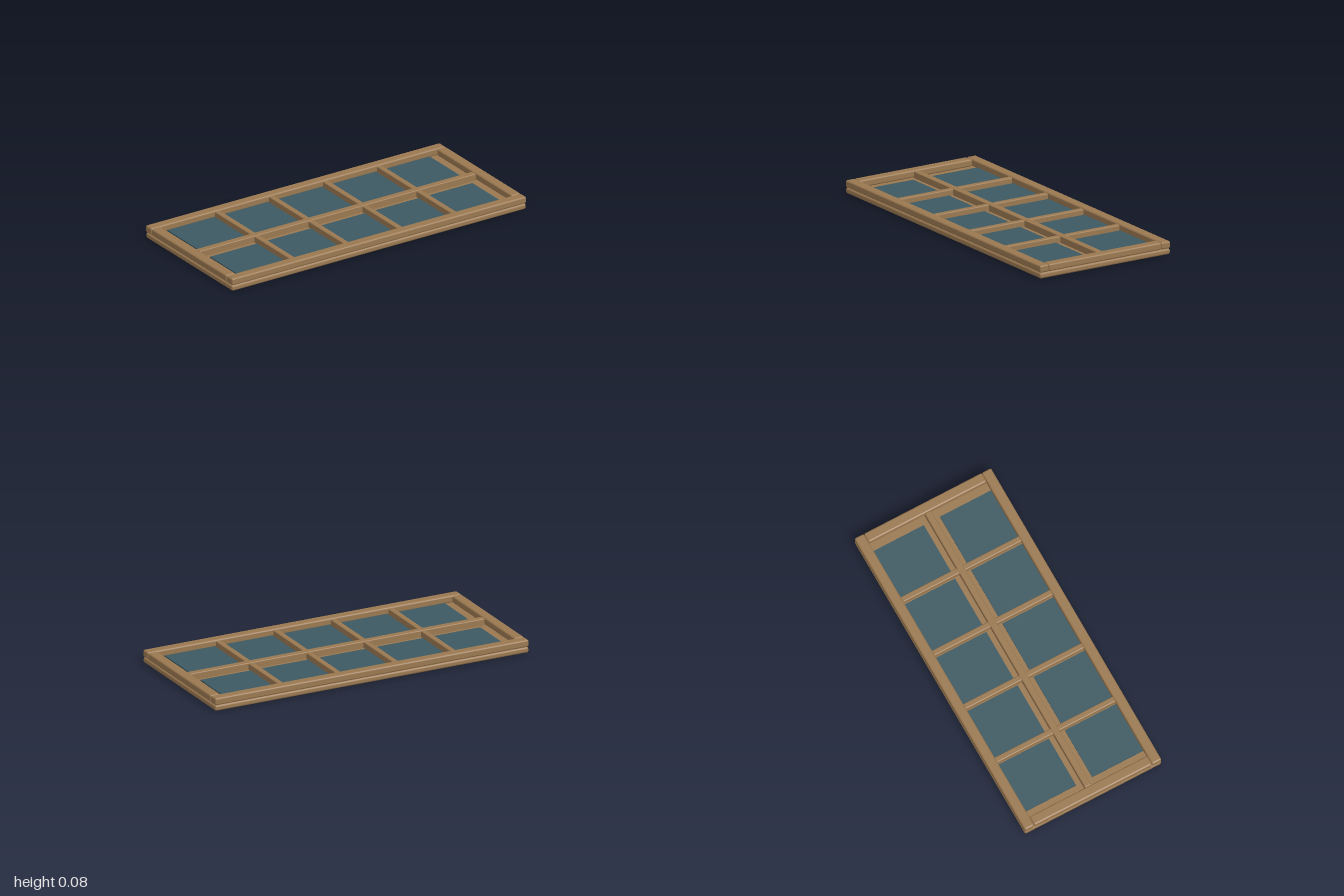
import * as THREE from 'three';
import { RoundedBoxGeometry } from 'three/addons/geometries/RoundedBoxGeometry.js';

export function createModel() {
  const group = new THREE.Group();
  const wood = new THREE.MeshStandardMaterial({ color: 0x9a7850 });
  wood.name = 'wood';
  const pane = new THREE.MeshStandardMaterial({ color: 0x3c5961 });
  pane.name = 'dark teal pane';

  // Rounded timber spanning y0..y1
  function timber(name, w, y0, y1, d, x, z, radius = 0.01) {
    const mesh = new THREE.Mesh(new RoundedBoxGeometry(w, y1 - y0, d, 3, radius), wood);
    mesh.position.set(x, (y0 + y1) / 2, z);
    mesh.name = name;
    group.add(mesh);
  }

  const baseTop = 0.035, frameTop = 0.078;

  // Backing board
  timber('backingBoard', 2, 0, baseTop, 0.88, 0, 0, 0.012);

  // Outer frame
  for (const s of [-1, 1]) {
    timber(s > 0 ? 'frontRail' : 'backRail', 2, baseTop, frameTop, 0.06, 0, s * 0.41);
    timber(s > 0 ? 'leftStile' : 'rightStile', 0.06, baseTop, frameTop, 0.76, s * 0.97, 0);
  }

  // Long centre bar and short dividers on both sides of it
  timber('centreBar', 1.88, baseTop - 0.005, 0.075, 0.04, 0, 0, 0.006);
  for (const x of [-0.55, -0.183, 0.183, 0.55]) {
    for (const s of [-1, 1]) {
      timber('divider', 0.034, baseTop - 0.005, 0.072, 0.37, x, s * 0.198, 0.006);
    }
  }

  // Thin inset panes
  const paneGeometry = new THREE.BoxGeometry(0.32, 0.008, 0.33);
  for (let i = -2; i <= 2; i++) {
    for (const s of [-1, 1]) {
      const mesh = new THREE.Mesh(paneGeometry, pane);
      mesh.position.set(i * 0.366, baseTop + 0.003, s * 0.217);
      mesh.name = 'pane';
      group.add(mesh);
    }
  }
  return group;
}
